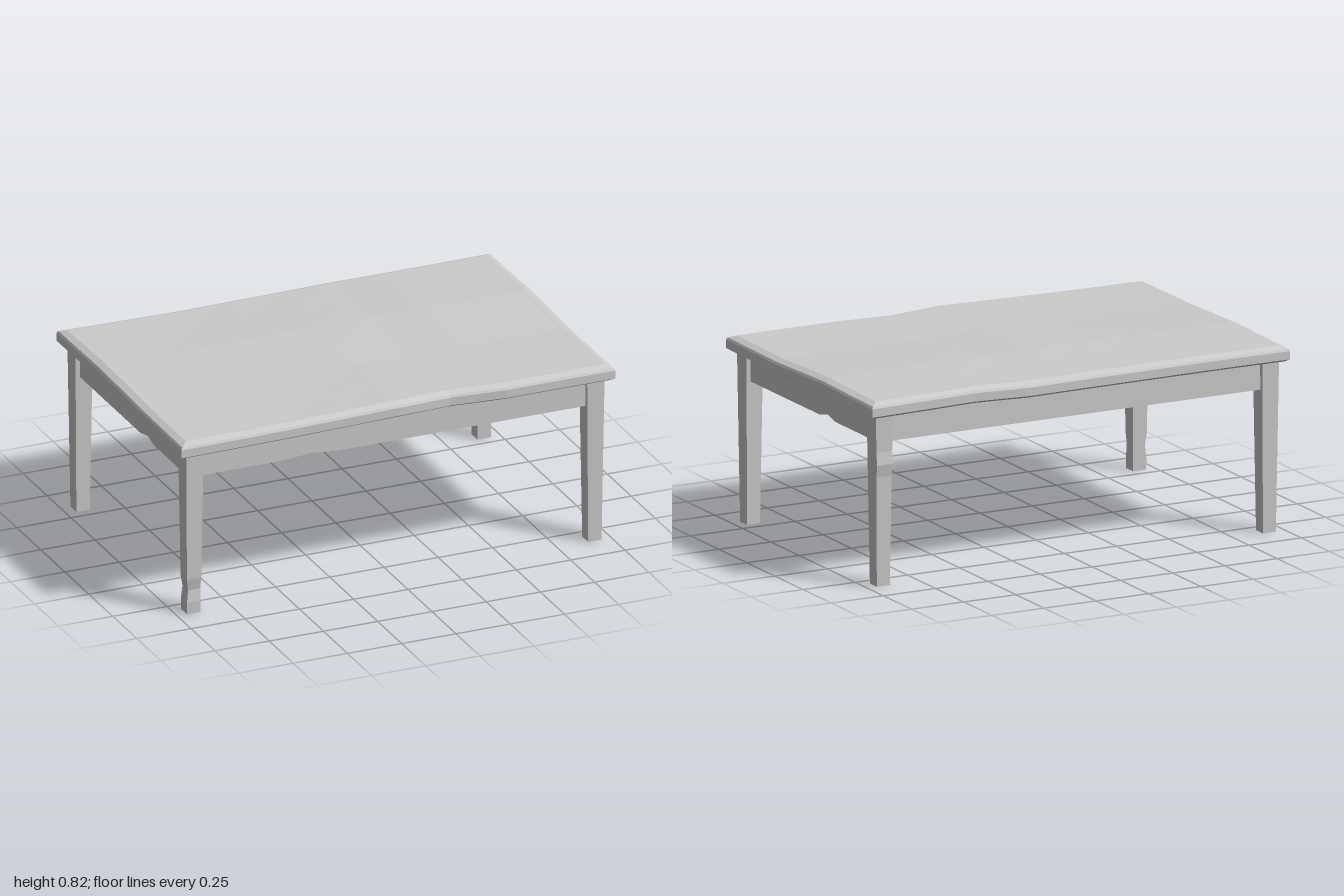
import * as THREE from 'three';

const material = new THREE.MeshStandardMaterial({ color: 0xcccccc, flatShading: true });
const HX = 1, HZ = 0.652;

function addMesh(parent, name, geometry) {
  const mesh = new THREE.Mesh(geometry, material);
  mesh.name = name;
  parent.add(mesh);
  return mesh;
}

// Read a short list of evenly spaced values at t in 0..1
function sample(list, t) {
  const f = THREE.MathUtils.clamp(t, 0, 1) * (list.length - 1);
  const i = Math.min(Math.floor(f), list.length - 2);
  return THREE.MathUtils.lerp(list[i], list[i + 1], f - i);
}

// Move every vertex of a geometry by a rule
function reshape(geometry, rule) {
  const p = geometry.attributes.position;
  const v = new THREE.Vector3();
  for (let i = 0; i < p.count; i++) {
    rule(v.fromBufferAttribute(p, i));
    p.setXYZ(i, v.x, v.y, v.z);
  }
  geometry.computeVertexNormals();
  return geometry;
}

// Table top: slab with a moulded edge [inset, height], worn outline and a warped surface
function topGeometry() {
  const edge = [[0.018, 0.742], [0, 0.753], [0, 0.789], [0.006, 0.799], [0.035, 0.811]];
  const frontLift = [-0.007, -0.005, -0.002, 0.003, 0.008, 0.001, 0.001, 0.001, 0];
  const backLift = [0.003, 0.002, 0, 0, 0, 0, 0.005, 0.002, 0];
  const rightLift = [0, 0.003, 0.008, 0.002, -0.005, -0.002, 0];
  const leftLift = [0, 0.004, 0.009, 0.005, 0, 0, 0];
  const frontWear = [0, 0, 0, 0, 0, 0.024, 0, 0, 0];
  const backWear = [0, 0.007, 0.013, 0.01, 0.006, 0, 0.013, 0.006, 0];
  return reshape(new THREE.BoxGeometry(2, 4, 2, 8, 4, 6), (v) => {
    const [inset, height] = edge[Math.round(v.y + 2)];
    const s = (v.x + 1) / 2, t = (v.z + 1) / 2;
    const lift = THREE.MathUtils.lerp(sample(backLift, s), sample(frontLift, s), t)
      + THREE.MathUtils.lerp(sample(leftLift, t), sample(rightLift, t), s);
    const wear = sample(v.z > 0 ? frontWear : backWear, s);
    v.set(v.x * (HX - inset), height + lift, v.z * (HZ - inset - wear));
  });
}

// Tapered square leg; chip = { y, x, z } pushes the outer face at one height
function legGeometry(sx, sz, chip) {
  const height = 0.745, step = height / 14;
  return reshape(new THREE.BoxGeometry(1, height, 1, 1, 14, 1), (v) => {
    const y = v.y + height / 2;
    const k = y / height;
    const outerX = v.x * sx > 0, outerZ = v.z * sz > 0;
    v.set(
      sx * 0.924 + v.x * THREE.MathUtils.lerp(0.062, 0.08, k),
      y,
      sz * 0.577 + v.z * THREE.MathUtils.lerp(0.062, 0.084, k)
    );
    if (chip && Math.abs(y - chip.y) < step / 2) {
      if (outerX) v.x += sx * chip.x;
      if (outerZ) v.z += sz * chip.z;
    }
  });
}

// Apron board with one shallow chip in its lower edge
function apronGeometry(halfLength, chipAt, chipWidth, chipHeight) {
  const bottom = 0.626, top = 0.765, depth = 0.035;
  const shape = new THREE.Shape();
  shape.moveTo(-halfLength, bottom);
  if (chipHeight) {
    shape.lineTo(chipAt - chipWidth, bottom);
    shape.lineTo(chipAt, bottom + chipHeight);
    shape.lineTo(chipAt + chipWidth, bottom);
  }
  shape.lineTo(halfLength, bottom);
  shape.lineTo(halfLength, top);
  shape.lineTo(-halfLength, top);
  return new THREE.ExtrudeGeometry(shape, { depth, bevelEnabled: false }).translate(0, 0, -depth / 2);
}

export function createModel() {
  const table = new THREE.Group();
  table.name = 'table';

  addMesh(table, 'tableTop', topGeometry());

  // Four legs, two of them chipped
  addMesh(table, 'frontLeftLeg', legGeometry(1, 1));
  addMesh(table, 'frontRightLeg', legGeometry(-1, 1, { y: 0.106, x: -0.008, z: -0.008 }));
  addMesh(table, 'backLeftLeg', legGeometry(1, -1, { y: 0.532, x: 0, z: 0.008 }));
  addMesh(table, 'backRightLeg', legGeometry(-1, -1));

  // Long aprons
  addMesh(table, 'frontApron', apronGeometry(0.9, -0.38, 0.12, 0.012)).position.z = 0.582;
  addMesh(table, 'backApron', apronGeometry(0.9, 0, 0, 0)).position.z = -0.582;

  // Short aprons, turned so their length runs front to back
  const left = addMesh(table, 'leftApron', apronGeometry(0.55, 0.15, 0.07, 0.018));
  const right = addMesh(table, 'rightApron', apronGeometry(0.55, -0.17, 0.07, 0.018));
  left.position.x = 0.926;
  right.position.x = -0.926;
  left.rotation.y = right.rotation.y = Math.PI / 2;

  return table;
}
